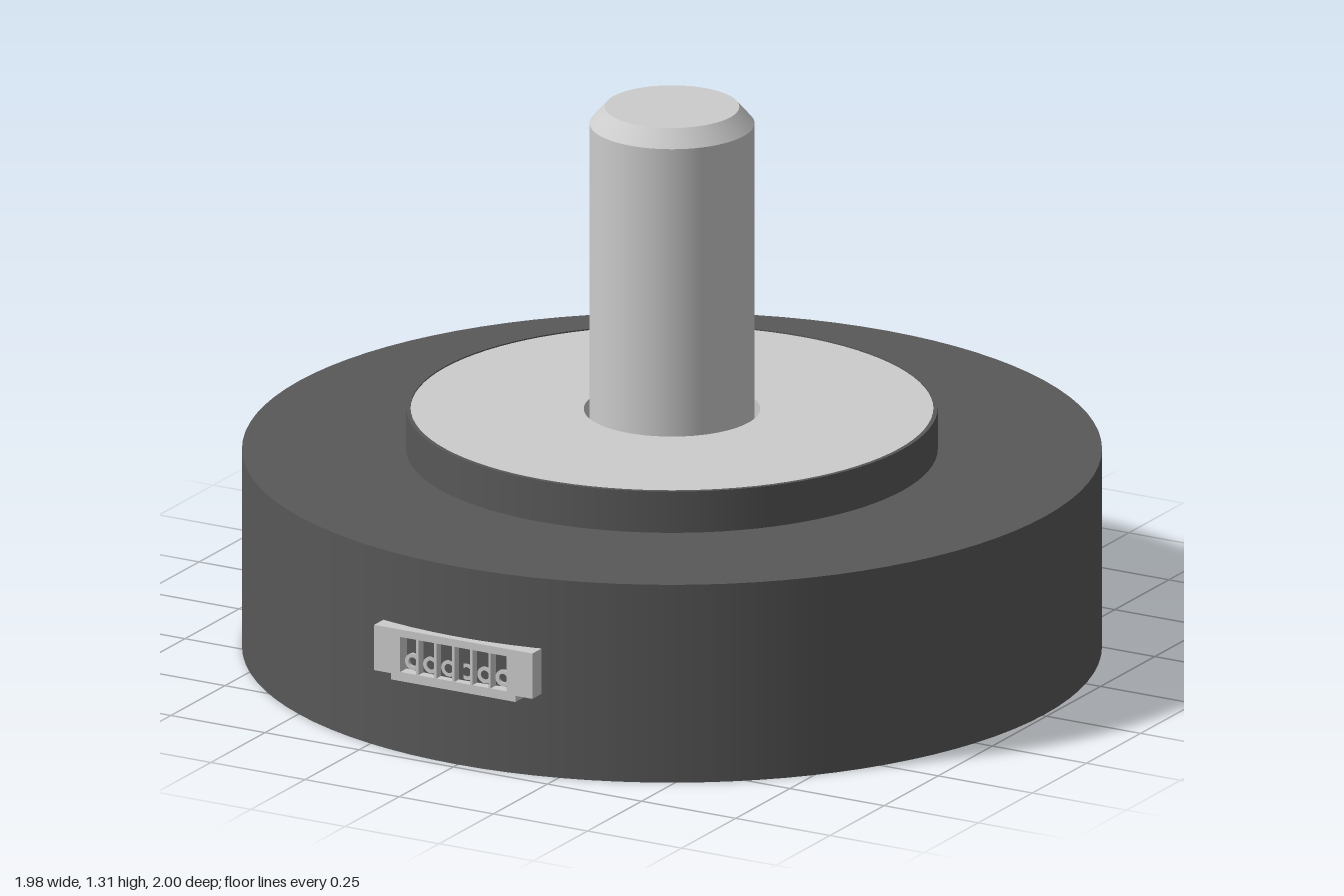
import * as THREE from 'three';

const SEG = 96;
const AXIS_Z = -0.01; // the round body sits slightly back so the socket fits in front

const grey = new THREE.MeshStandardMaterial({ color: 0xcccccc });
const dark = new THREE.MeshStandardMaterial({ color: 0x585858 });

function add(parent, name, geometry, material, x = 0, y = 0, z = 0) {
  const mesh = new THREE.Mesh(geometry, material);
  mesh.name = name;
  mesh.position.set(x, y, z);
  parent.add(mesh);
  return mesh;
}

// Revolve straight segments separately, so every edge stays sharp
function turned(parent, name, profile, material) {
  const group = new THREE.Group();
  group.name = name;
  for (let i = 0; i < profile.length - 1; i++) {
    const pts = [profile[i], profile[i + 1]].map(([r, y]) => new THREE.Vector2(r, y));
    add(group, name + 'Surface', new THREE.LatheGeometry(pts, SEG), material);
  }
  group.position.z = AXIS_Z;
  parent.add(group);
}

function rect(target, x0, y0, x1, y1) {
  target.moveTo(x0, y0);
  target.lineTo(x1, y0);
  target.lineTo(x1, y1);
  target.lineTo(x0, y1);
  target.closePath();
  return target;
}

// Front socket: slotted block with a lower lip and six pin sleeves
function createSocket() {
  const socket = new THREE.Group();
  socket.name = 'socket';
  const shape = new THREE.Shape();
  [[-0.21, 0.2], [-0.165, 0.2], [-0.165, 0.185], [0.165, 0.185],
    [0.165, 0.2], [0.21, 0.2], [0.21, 0.31], [-0.21, 0.31]]
    .forEach(([x, y], i) => (i ? shape.lineTo(x, y) : shape.moveTo(x, y)));
  shape.closePath();

  const sleeve = new THREE.Shape().absarc(0, 0, 0.02, 0, Math.PI * 2);
  sleeve.holes.push(new THREE.Path().absarc(0, 0, 0.011, 0, Math.PI * 2, true));
  const sleeveGeometry = new THREE.ExtrudeGeometry(sleeve, {
    depth: 0.025, bevelEnabled: false, curveSegments: 12,
  });

  for (let i = 0; i < 6; i++) {
    const x = (i - 2.5) * 0.048;
    shape.holes.push(rect(new THREE.Path(), x - 0.021, 0.207, x + 0.021, 0.292));
    add(socket, 'pinSleeve', sleeveGeometry, grey, x, 0.229, 0.9545);
  }
  const block = new THREE.ExtrudeGeometry(shape, { depth: 0.055, bevelEnabled: false });
  add(socket, 'socketBlock', block, grey, 0, 0, 0.945);
  return socket;
}

export function createModel() {
  const model = new THREE.Group();
  model.name = 'motor';

  // Wide housing, closed underneath
  turned(model, 'housing', [[0, 0], [0.99, 0], [0.99, 0.48], [0.6, 0.48]], dark);

  // Raised collar with a thin dark rim
  turned(model, 'collar', [[0.612, 0.48], [0.612, 0.58], [0.602, 0.58], [0.602, 0.57]], dark);

  // Light face plate with a clearance hole around the shaft
  turned(model, 'facePlate', [[0.602, 0.577], [0.203, 0.577], [0.203, 0.5], [0, 0.5]], grey);

  // Shaft with a chamfered end
  turned(model, 'shaft', [[0.19, 0.5], [0.19, 1.27], [0.155, 1.31], [0, 1.31]], grey);

  model.add(createSocket());
  return model;
}
